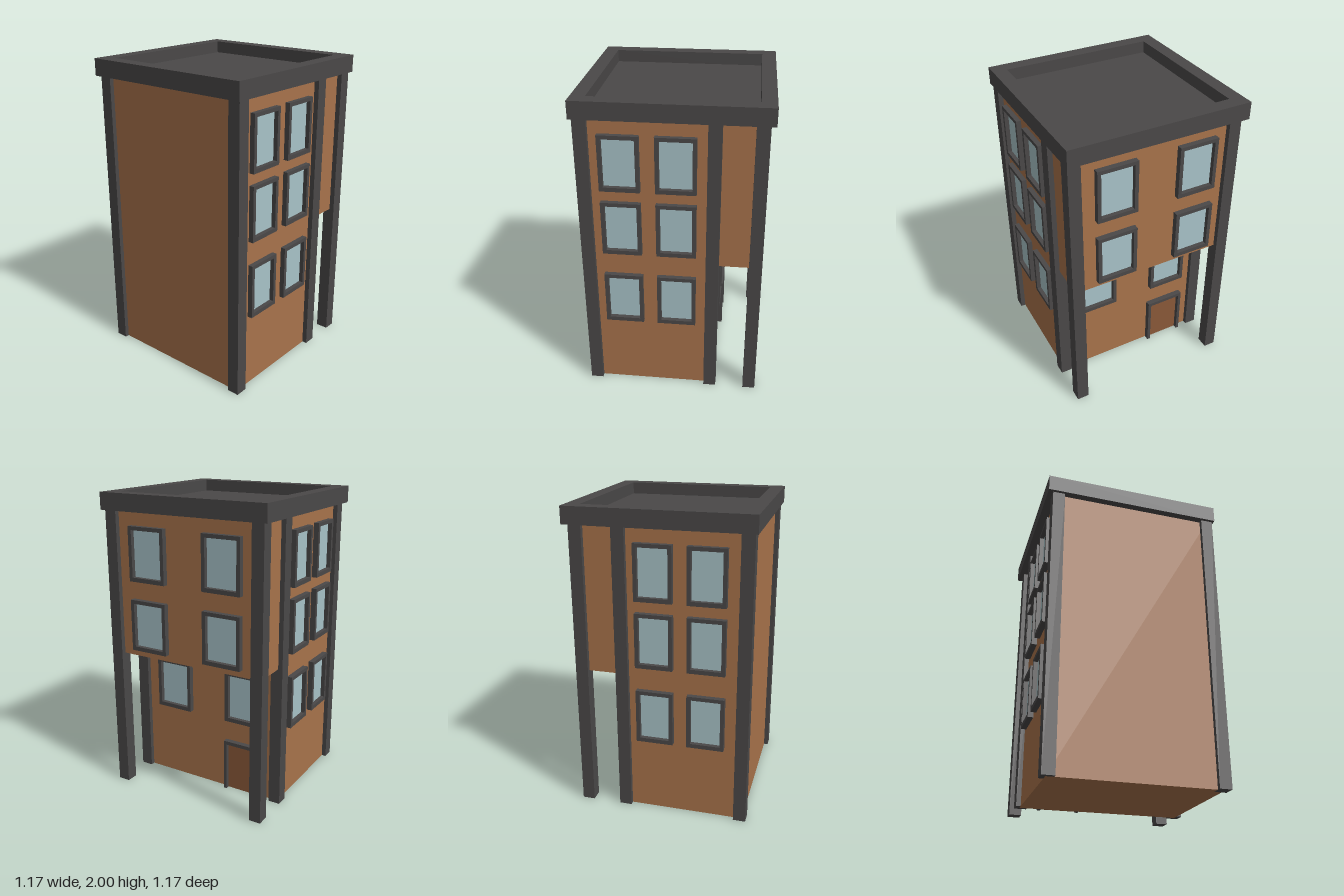
import * as THREE from 'three';

const mat = (color) => new THREE.MeshStandardMaterial({ color });
const brick = mat(0xa8734b);
const trim = mat(0x4a4848);
const glass = mat(0xa8c3c8);
const doorBrown = mat(0x8a5939);

const TOP = 1.89;        // underside of the roof
const FRONT = 0.543, BACK = -0.525, LEFT = 0.525, RIGHT = -0.54, PORCH = 0.26; // wall planes
const OVERHANG = 0.945;  // underside of the overhanging floors
const DEPTH = 0.036;     // how far frames stand out

function box(name, material, x0, x1, y0, y1, z0, z1) {
  const mesh = new THREE.Mesh(new THREE.BoxGeometry(x1 - x0, y1 - y0, z1 - z0), material);
  mesh.position.set((x0 + x1) / 2, (y0 + y1) / 2, (z0 + z1) / 2);
  mesh.name = name;
  return mesh;
}

function polygon(points) {
  return new THREE.Shape(points.map(([x, y]) => new THREE.Vector2(x, y)));
}

function rectangle(x0, x1, y0, y1) {
  return polygon([[x0, y0], [x1, y0], [x1, y1], [x0, y1]]);
}

function extrude(name, shape, depth, material) {
  const mesh = new THREE.Mesh(new THREE.ExtrudeGeometry(shape, { depth, bevelEnabled: false }), material);
  mesh.name = name;
  return mesh;
}

// Framed window facing +z, centred on its own origin
function makeWindow(w, h) {
  const group = new THREE.Group();
  group.name = 'window';
  const inner = [-w / 2 + 0.024, w / 2 - 0.024, -h / 2 + 0.027, h / 2 - 0.024];
  const shape = rectangle(-w / 2, w / 2, -h / 2, h / 2);
  shape.holes.push(rectangle(...inner));
  group.add(extrude('windowFrame', shape, DEPTH, trim));
  group.add(box('windowGlass', glass, ...inner, -0.006, 0.008));
  return group;
}

// Door facing +z, standing on its own origin
function makeDoor(w, h) {
  const group = new THREE.Group();
  group.name = 'door';
  const a = w / 2, b = a - 0.022, t = h - 0.024;
  const arch = polygon([[-a, 0], [-b, 0], [-b, t], [b, t], [b, 0], [a, 0], [a, h], [-a, h]]);
  group.add(extrude('doorFrame', arch, DEPTH, trim));
  group.add(box('doorPanel', doorBrown, -b, b, 0, t, -0.006, 0.008));
  return group;
}

export function createModel() {
  const model = new THREE.Group();
  model.name = 'building';

  // Walls: one L-shaped profile with the upper floors overhanging the porch
  const profile = polygon([[RIGHT, 0], [PORCH, 0], [PORCH, OVERHANG], [LEFT, OVERHANG], [LEFT, TOP], [RIGHT, TOP]]);
  const walls = extrude('walls', profile, FRONT - BACK, brick);
  walls.position.z = BACK;
  model.add(walls);

  // Pillars at the corners and along the porch wall
  for (const x of [-0.568, 0.209, 0.476]) {
    for (const z of [0.495, -0.555]) {
      model.add(box('pillar', trim, x, x + 0.081, 0, TOP, z, z + 0.08));
    }
  }

  // Flat roof with a raised parapet
  const rim = rectangle(-0.587, 0.587, -0.587, 0.587);
  rim.holes.push(rectangle(-0.497, 0.495, -0.495, 0.497));
  const parapet = extrude('parapet', rim, 2 - TOP, trim);
  parapet.rotation.x = -Math.PI / 2;
  parapet.position.y = TOP;
  model.add(parapet);
  model.add(box('roofDeck', trim, -0.5, 0.5, TOP, 1.922, -0.5, 0.5));

  // Front and back windows, three floors of two
  for (const y of [1.619, 1.187, 0.675]) {
    for (const x of [-0.311, 0.025]) {
      const front = makeWindow(0.245, 0.356);
      front.position.set(x, y, FRONT - 0.004);
      model.add(front);
    }
    for (const x of [-0.293, 0.038]) {
      const back = makeWindow(0.24, 0.356);
      back.rotation.y = Math.PI;
      back.position.set(x, y, BACK);
      model.add(back);
    }
  }

  // Side windows: two floors on the overhang, one on the porch wall
  for (const [x, y, h] of [[LEFT, 1.625, 0.35], [LEFT, 1.161, 0.338], [PORCH, 0.682, 0.35]]) {
    for (const z of [0.268, -0.271]) {
      const side = makeWindow(0.264, h);
      side.rotation.y = Math.PI / 2;
      side.position.set(x, y, z);
      model.add(side);
    }
  }

  // Door under the overhang
  const door = makeDoor(0.274, 0.357);
  door.rotation.y = Math.PI / 2;
  door.position.set(PORCH, 0, -0.268);
  model.add(door);

  return model;
}
